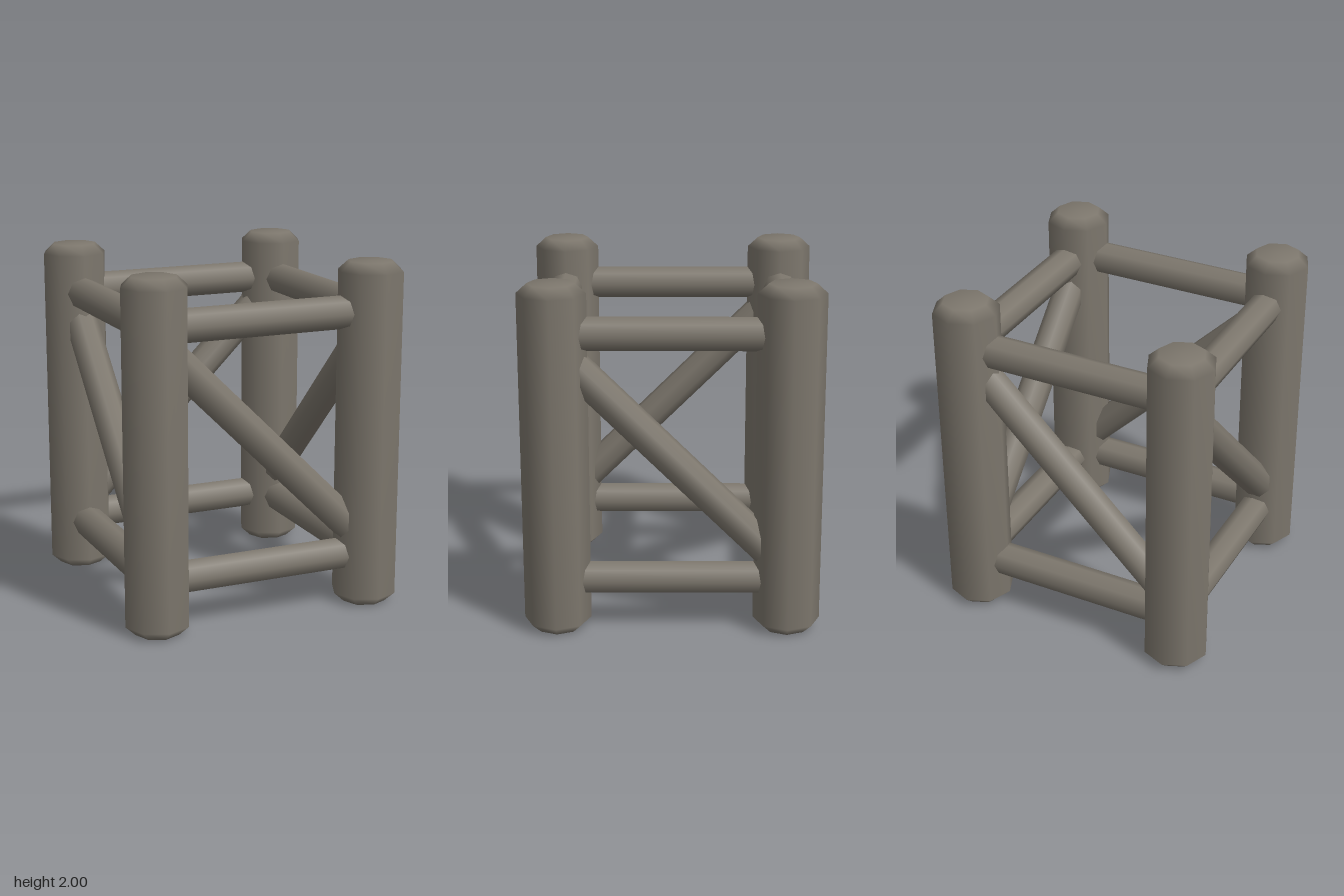
import * as THREE from 'three';

const SPREAD = 0.65; // distance of each post from the centre lines
const UP = new THREE.Vector3(0, 1, 0);

export function createModel() {
  const model = new THREE.Group();
  model.name = 'timberFrame';
  const wood = new THREE.MeshStandardMaterial({ color: 0x7d776d });
  wood.name = 'weatheredWood';

  // Eight-sided post with softly bevelled ends
  const postProfile = [
    [0, 0], [0.13, 0], [0.19, 0.055], [0.19, 1.945], [0.13, 2], [0, 2],
  ].map(([r, y]) => new THREE.Vector2(r, y));
  const postGeometry = new THREE.LatheGeometry(postProfile, 8);

  // Round pole between two points of a side panel
  function pole(name, from, to, radius, turn) {
    const a = new THREE.Vector3(...from);
    const b = new THREE.Vector3(...to);
    const geometry = new THREE.CylinderGeometry(radius, radius, a.distanceTo(b), 8, 1, false, turn);
    const mesh = new THREE.Mesh(geometry, wood);
    mesh.name = name;
    mesh.position.copy(a).add(b).multiplyScalar(0.5);
    mesh.quaternion.setFromUnitVectors(UP, b.sub(a).normalize());
    return mesh;
  }

  // Four identical sides, each with one post, two rails and a diagonal brace
  for (let i = 0; i < 4; i++) {
    const side = new THREE.Group();
    side.name = ['frontSide', 'leftSide', 'backSide', 'rightSide'][i];

    const post = new THREE.Mesh(postGeometry, wood);
    post.name = 'post';
    post.position.set(-SPREAD, 0, SPREAD);

    side.add(
      post,
      pole('topRail', [-SPREAD, 1.72, SPREAD], [SPREAD, 1.72, SPREAD], 0.096, 0),
      pole('bottomRail', [-SPREAD, 0.3, SPREAD], [SPREAD, 0.3, SPREAD], 0.096, 0),
      pole('diagonalBrace', [-SPREAD, 1.65, SPREAD], [SPREAD, 0.36, SPREAD], 0.096, Math.PI / 8),
    );
    side.rotation.y = (i * Math.PI) / 2;
    model.add(side);
  }
  return model;
}
